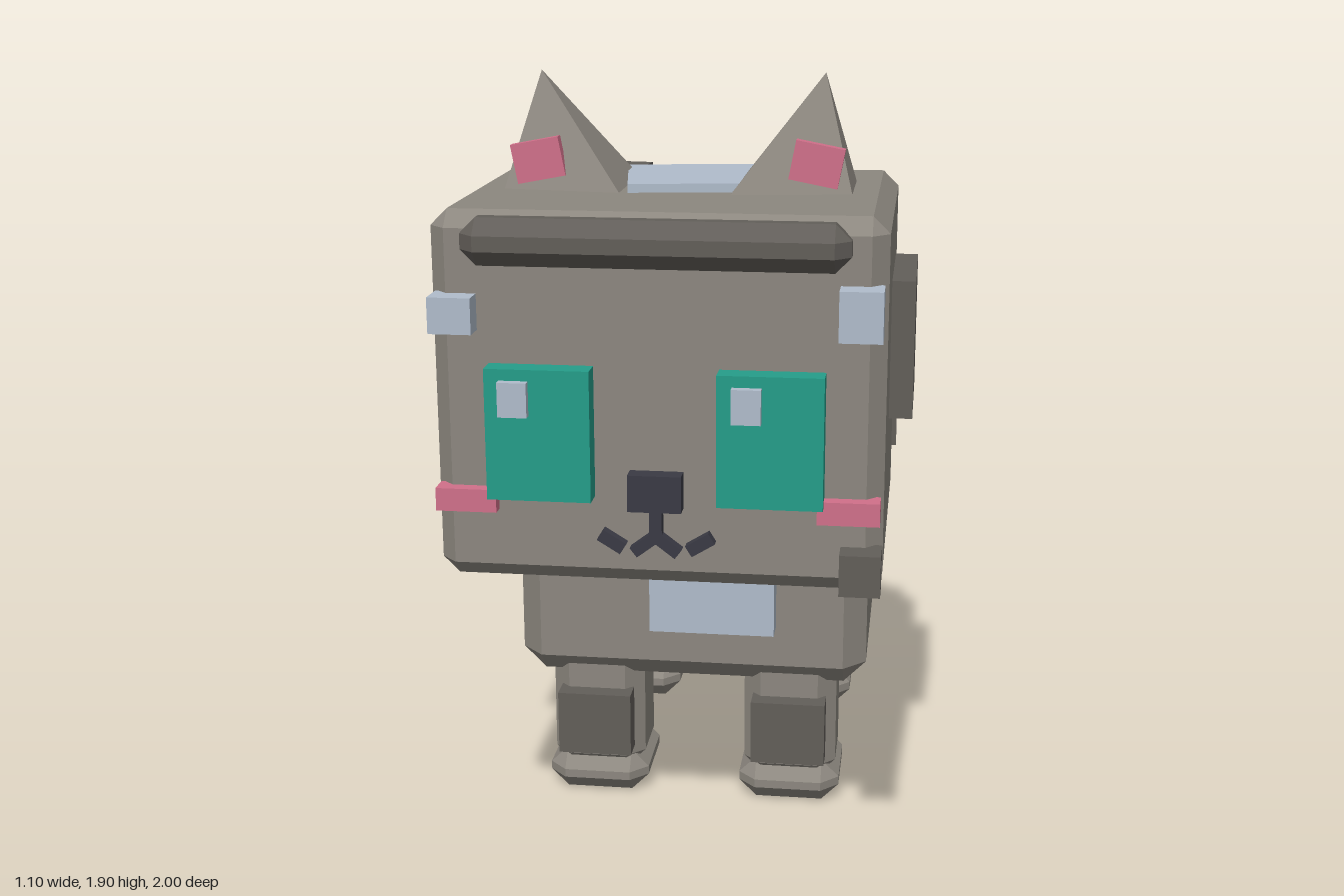
import * as THREE from 'three';
import { ConvexGeometry } from 'three/addons/geometries/ConvexGeometry.js';

const mat = (name, color) => {
  const m = new THREE.MeshStandardMaterial({ color });
  m.name = name;
  return m;
};

// Box with every edge cut at 45 degrees
function chamferBox(w, h, d, c) {
  const pts = [];
  const [x, y, z] = [w / 2, h / 2, d / 2];
  for (const i of [-1, 1]) for (const j of [-1, 1]) for (const k of [-1, 1]) {
    pts.push(
      new THREE.Vector3(i * x, j * (y - c), k * (z - c)),
      new THREE.Vector3(i * (x - c), j * y, k * (z - c)),
      new THREE.Vector3(i * (x - c), j * (y - c), k * z));
  }
  return new ConvexGeometry(pts);
}

// Four-sided ear: tip leans outward, outer edge of the base is narrower
function earGeometry(side) {
  const g = new THREE.ConeGeometry(Math.SQRT2, 1, 4).rotateY(Math.PI / 4).toNonIndexed();
  const p = g.attributes.position;
  for (let i = 0; i < p.count; i++) {
    const x = p.getX(i) * side, z = p.getZ(i);
    if (p.getY(i) > 0) p.setXYZ(i, side * 0.07, 0.275, 0);
    else p.setXYZ(i, side * x * 0.143, 0, z * (x > 0 ? 0.117 : 0.155));
  }
  g.computeVertexNormals();
  return g;
}

// Faceted stone with a point on top
function stoneGeometry(r, squash) {
  const g = new THREE.IcosahedronGeometry(r, 0).rotateZ(0.5536).scale(1, squash, 1);
  g.computeVertexNormals();
  return g;
}

export function createModel() {
  const model = new THREE.Group();
  const fur = mat('fur grey', 0x8c877f);
  const dark = mat('dark grey', 0x625e59);
  const blue = mat('pale blue', 0xb0bccb);
  const teal = mat('teal', 0x259d89);
  const pink = mat('pink', 0xd0708a);
  const black = mat('charcoal', 0x3a3a44);

  const add = (name, geo, material, x, y, z, rx = 0, ry = 0, rz = 0) => {
    const m = new THREE.Mesh(geo, material);
    m.name = name;
    m.position.set(x, y, z);
    m.rotation.set(rx, ry, rz);
    model.add(m);
    return m;
  };
  // Plain box given by its lower and upper limits
  const block = (name, material, x0, x1, y0, y1, z0, z1) =>
    add(name, new THREE.BoxGeometry(x1 - x0, y1 - y0, z1 - z0), material,
      (x0 + x1) / 2, (y0 + y1) / 2, (z0 + z1) / 2);
  const box = (w, h, d) => new THREE.BoxGeometry(w, h, d);
  const cx = -0.004;

  // Body and head
  add('body', chamferBox(0.895, 0.62, 0.95, 0.057), fur, cx, 0.65, -0.105);
  add('head', chamferBox(0.99, 0.83, 0.79, 0.037), fur, cx, 1.228, 0.531);

  // Legs, feet and knee patches
  for (const s of [-1, 1]) for (const z of [0.217, -0.4]) {
    const x = cx + s * 0.252;
    add('leg', chamferBox(0.24, 0.36, 0.237, 0.046), fur, x, 0.24, z);
    add('foot', chamferBox(0.262, 0.112, 0.284, 0.045), fur, x, 0.056, z - 0.004);
    add('kneePatch', box(0.19, 0.167, 0.064), dark, x, 0.213, z + 0.132);
  }

  // Tail in two bent segments
  add('tailBase', chamferBox(0.31, 0.375, 0.29, 0.06), fur, 0, 0.928, -0.728, -0.96);
  add('tailTip', chamferBox(0.285, 0.365, 0.285, 0.06), fur, 0, 1.18, -0.84, -0.17);

  // Ears with pink insides
  for (const s of [-1, 1]) {
    add('ear', earGeometry(s), fur, cx + s * 0.26, 1.63, 0.478);
    add('innerEar', box(0.113, 0.09, 0.03), pink, cx + s * 0.319, 1.71, 0.583, 0, 0, -s * 0.19);
  }

  // Face
  add('brow', chamferBox(0.835, 0.104, 0.1, 0.035), dark, cx, 1.582, 0.932);
  for (const s of [-1, 1]) {
    const x = cx + s * 0.252;
    block('eye', teal, x - 0.115, x + 0.115, 1.018, 1.312, 0.9, 0.98);
    block('eyeGlint', blue, x - 0.082, x - 0.018, 1.21, 1.287, 0.95, 1.0);
    block('cheek', pink, cx + s * 0.421 - 0.068, cx + s * 0.421 + 0.068, 0.98, 1.032, 0.905, 0.957);
    add('mouthInner', box(0.07, 0.026, 0.03), black, cx + s * 0.022, 0.918, 0.935, 0, 0, -s * 0.65);
    add('mouthOuter', box(0.06, 0.028, 0.03), black, cx + s * 0.098, 0.92, 0.935, 0, 0, s * 0.55);
  }
  block('nose', black, -0.063, 0.055, 0.997, 1.08, 0.9, 0.968);
  block('mouthStem', black, -0.018, 0.01, 0.925, 1.0, 0.91, 0.95);

  // Patches on the head
  block('templePatchRight', blue, -0.49, -0.395, 1.385, 1.465, 0.905, 0.98);
  block('templePatchLeft', blue, 0.39, 0.483, 1.39, 1.5, 0.905, 0.985);
  block('chinPatch', dark, 0.4, 0.49, 0.828, 0.922, 0.905, 0.985);
  block('headPatchLeft', dark, 0.45, 0.545, 1.13, 1.452, 0.263, 0.612);
  block('headPatchRight', blue, -0.55, -0.46, 1.005, 1.288, 0.328, 0.645);
  add('crownPatchBlue', box(0.41, 0.05, 0.335), blue, 0.065, 1.638, 0.425, 0, 0.155, 0);
  add('crownPatchDark', box(0.235, 0.05, 0.2), dark, -0.25, 1.63, 0.263, 0, -0.12, 0);

  // Chest patch and bands across the back
  block('chestPatch', blue, -0.1, 0.215, 0.503, 0.758, 0.32, 0.435);
  add('backBandRear', box(0.94, 0.1, 0.17), blue, 0, 0.938, -0.388, 0, -0.045, 0);
  add('backBandMiddle', box(0.965, 0.1, 0.24), dark, 0.012, 0.938, -0.095, 0, 0.052, 0);
  add('backBandFront', box(0.945, 0.1, 0.17), blue, -0.01, 0.938, 0.155, 0, -0.058, 0);

  // Stones along the back
  add('rearStone', stoneGeometry(0.125, 0.85), black, 0.045, 1.01, -0.405, 0, 0.4, 0);
  add('frontStone', stoneGeometry(0.13, 0.82), black, 0.037, 1.015, 0.085, 0, 0.9, 0);
  add('middleStone', stoneGeometry(0.165, 0.7), dark, -0.05, 1.03, -0.17, 0, 0.2, 0);
  add('tealStone', stoneGeometry(0.075, 0.55), teal, -0.1, 1.113, -0.13, 0, 0.5, 0);

  // Fishbone marks on both flanks: spine, ribs and diamond ends
  for (const s of [-1, 1]) {
    const x = cx + s * 0.447;
    const mark = (name, y0, y1, z0, z1) => block(name, teal, x - 0.018, x + 0.018, y0, y1, z0, z1);
    mark('boneSpine', 0.665, 0.708, -0.385, 0.178);
    for (const z of [0.069, -0.16]) mark('boneRibUp', 0.7, 0.83, z - 0.024, z + 0.024);
    for (const z of [-0.045, -0.274]) mark('boneRibDown', 0.54, 0.67, z - 0.024, z + 0.024);
    for (const z of [0.243, -0.45]) {
      add('boneDiamond', box(0.036, 0.08, 0.08), teal, x, 0.686, z, Math.PI / 4);
    }
  }
  return model;
}
